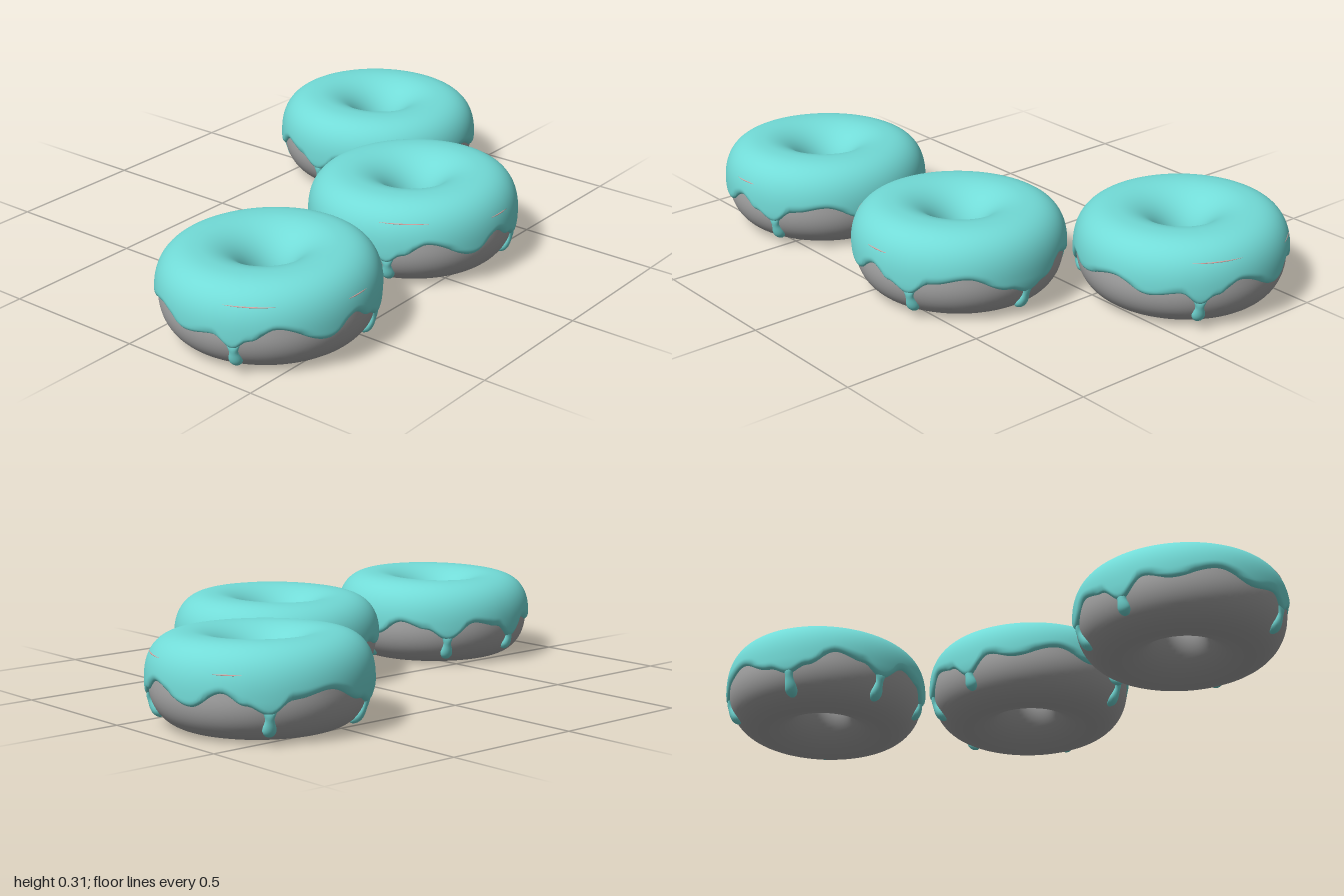
import * as THREE from 'three';

const RAD = Math.PI / 180;
const MID_Y = 0.146, HALF_H = 0.144, MID_R = 0.222, OUT_W = 0.128, IN_W = 0.15;
const UPPER_POW = 0.8, LOWER_POW = 0.94; // boxier shoulder above, rounder belly below

// Rounded ring cross-section: t = 0 points outward, 90 degrees points up
function section(t) {
  const c = Math.cos(t), s = Math.sin(t);
  const outer = c > 0;
  const pow = s > 0 ? UPPER_POW : LOWER_POW;
  const r = MID_R + (outer ? OUT_W * Math.pow(c, pow) : IN_W * c);
  const y = MID_Y + Math.sign(s) * HALF_H * Math.pow(Math.abs(s), outer ? pow : 1);
  return [r, y];
}

// Point at angle a round the ring, raised by off along the normal, shifted sideways by side
function ringPoint(a, t, off = 0, side = 0) {
  const [r0, y0] = section(t - 0.02), [r1, y1] = section(t + 0.02);
  const len = Math.hypot(r1 - r0, y1 - y0) || 1;
  let [r, y] = section(t);
  r += (off * (y1 - y0)) / len;
  y -= (off * (r1 - r0)) / len;
  r *= 1 + 0.008 * Math.cos(2 * a);
  // slightly uneven top
  if (y > MID_Y) y += 0.005 * Math.sin(a + 0.5) * ((y - MID_Y) / HALF_H);
  return [r * Math.cos(a) - side * Math.sin(a), y, r * Math.sin(a) + side * Math.cos(a)];
}

// Section parameter on the outer side at a given height
function paramAt(y) {
  const d = (y - MID_Y) / HALF_H;
  const pow = d > 0 ? UPPER_POW : LOWER_POW;
  return Math.sign(d) * Math.asin(Math.min(1, Math.pow(Math.abs(d), 1 / pow)));
}

// Smooth grid surface, closed in u and optionally in v
function gridSurface(nu, nv, closedV, fn) {
  const pos = [], idx = [];
  const rows = closedV ? nv : nv + 1;
  for (let i = 0; i < nu; i++)
    for (let j = 0; j < rows; j++) pos.push(...fn(i / nu, j / nv));
  for (let i = 0; i < nu; i++)
    for (let j = 0; j < nv; j++) {
      const i2 = (i + 1) % nu, j2 = (j + 1) % rows;
      const a = i * rows + j, b = i * rows + j2, c = i2 * rows + j2, d = i2 * rows + j;
      idx.push(a, b, d, b, c, d);
    }
  const g = new THREE.BufferGeometry();
  g.setAttribute('position', new THREE.Float32BufferAttribute(pos, 3));
  g.setIndex(idx);
  g.computeVertexNormals();
  return g;
}

// Wavy icing rim: [angle in degrees, height]
const RIM = [
  [0, 0.09], [12, 0.115], [35, 0.165], [55, 0.145], [67, 0.1], [79, 0.13], [91, 0.165],
  [109, 0.115], [136, 0.17], [150, 0.13], [158, 0.1], [168, 0.14], [185, 0.125], [205, 0.165],
  [230, 0.13], [245, 0.15], [259, 0.09], [272, 0.14], [288, 0.16], [305, 0.1], [318, 0.14],
  [333, 0.165], [349, 0.115], [360, 0.09],
];
function rimHeight(deg) {
  const k = Math.max(1, RIM.findIndex((p) => p[0] >= deg));
  const [a0, y0] = RIM[k - 1], [a1, y1] = RIM[k];
  return y0 + (y1 - y0) * (0.5 - 0.5 * Math.cos(Math.PI * (deg - a0) / (a1 - a0)));
}

// Drips: [angle in degrees, height of the tip]
const DRIPS = [[0, 0.022], [67, 0.03], [158, 0.032], [259, 0.045], [305, 0.028]];
// Pale streaks on the icing: [from, to in degrees, height]
const STREAKS = [[79, 98, 0.217], [132, 166, 0.236]];

function doughGeometry() {
  return gridSurface(96, 64, true, (u, v) => ringPoint(u * 2 * Math.PI, v * 2 * Math.PI));
}

// Icing shell, from the wavy rim over the top and into the hole
function icingGeometry() {
  const start = 190 * RAD;
  return gridSurface(180, 52, false, (u, v) => {
    const w = 1 - v * v; // rows crowd towards the rim
    const end = paramAt(rimHeight(u * 360));
    const lip = Math.min(1, Math.max(0, (w - 0.96) / 0.04));
    const inner = Math.max(0, 1 - w / 0.08);
    const off = -0.004 + 0.016 * Math.sqrt(1 - lip * lip) * Math.sqrt(1 - inner * inner);
    return ringPoint(u * 2 * Math.PI, start + (end - start) * w, off);
  });
}

// Teardrop that follows the side of the ring, sinking into the icing at its top
function dripGeometry(deg, tip) {
  const top = 0.135, bulb = 0.022;
  return gridSurface(16, 24, false, (u, v) => {
    const y = top + (tip - top) * (1 - Math.pow(1 - v, 1.6));
    const h = y - tip;
    const sink = THREE.MathUtils.smoothstep(y, 0.085, top);
    const neck = 0.014 + 0.014 * sink;
    const blend = THREE.MathUtils.smoothstep(h, 0.02, 0.06);
    const round = Math.sqrt(Math.max(0, 1 - Math.pow(Math.max(0, 1 - h / bulb), 2)));
    const rad = round * (bulb + (neck - bulb) * blend);
    const f = u * 2 * Math.PI;
    return ringPoint(deg * RAD, paramAt(y), rad * 0.8 * (1 - sink) * Math.sin(f), rad * Math.cos(f));
  });
}

// Hair-thin tapered streak lying on the icing
function streakGeometry(from, to, y) {
  return gridSurface(8, 20, false, (u, v) => {
    const f = u * 2 * Math.PI, taper = Math.sin(Math.PI * v);
    const a = (from + (to - from) * v) * RAD;
    return ringPoint(a, paramAt(y) + 0.016 * taper * Math.cos(f), 0.0115 + 0.002 * taper * Math.sin(f));
  });
}

function material(name, color) {
  const m = new THREE.MeshStandardMaterial({ color });
  m.name = name;
  return m;
}

export function createModel() {
  const doughMat = material('dough grey', 0xa8a8a8);
  const icingMat = material('icing turquoise', 0x72dbd7);
  const streakMat = material('streak pink', 0xd8a8a4);

  const dough = doughGeometry(), icing = icingGeometry();
  const drips = DRIPS.map((d) => dripGeometry(...d));
  const streaks = STREAKS.map((s) => streakGeometry(...s));

  const model = new THREE.Group();
  model.name = 'doughnuts';
  const add = (parent, name, geo, mat) => {
    const m = new THREE.Mesh(geo, mat);
    m.name = name;
    parent.add(m);
  };

  // x, z and turn of each doughnut
  [[-0.636, 0.267, 0], [0.13, 0.267, 0], [0.638, -0.27, 123]].forEach(([x, z, turn], i) => {
    const ring = new THREE.Group();
    ring.name = 'doughnut' + (i + 1);
    add(ring, 'dough', dough, doughMat);
    add(ring, 'icing', icing, icingMat);
    drips.forEach((g, k) => add(ring, 'icingDrip' + (k + 1), g, icingMat));
    streaks.forEach((g, k) => add(ring, 'icingStreak' + (k + 1), g, streakMat));
    ring.position.set(x, 0, z);
    ring.rotation.y = turn * RAD;
    model.add(ring);
  });
  return model;
}
